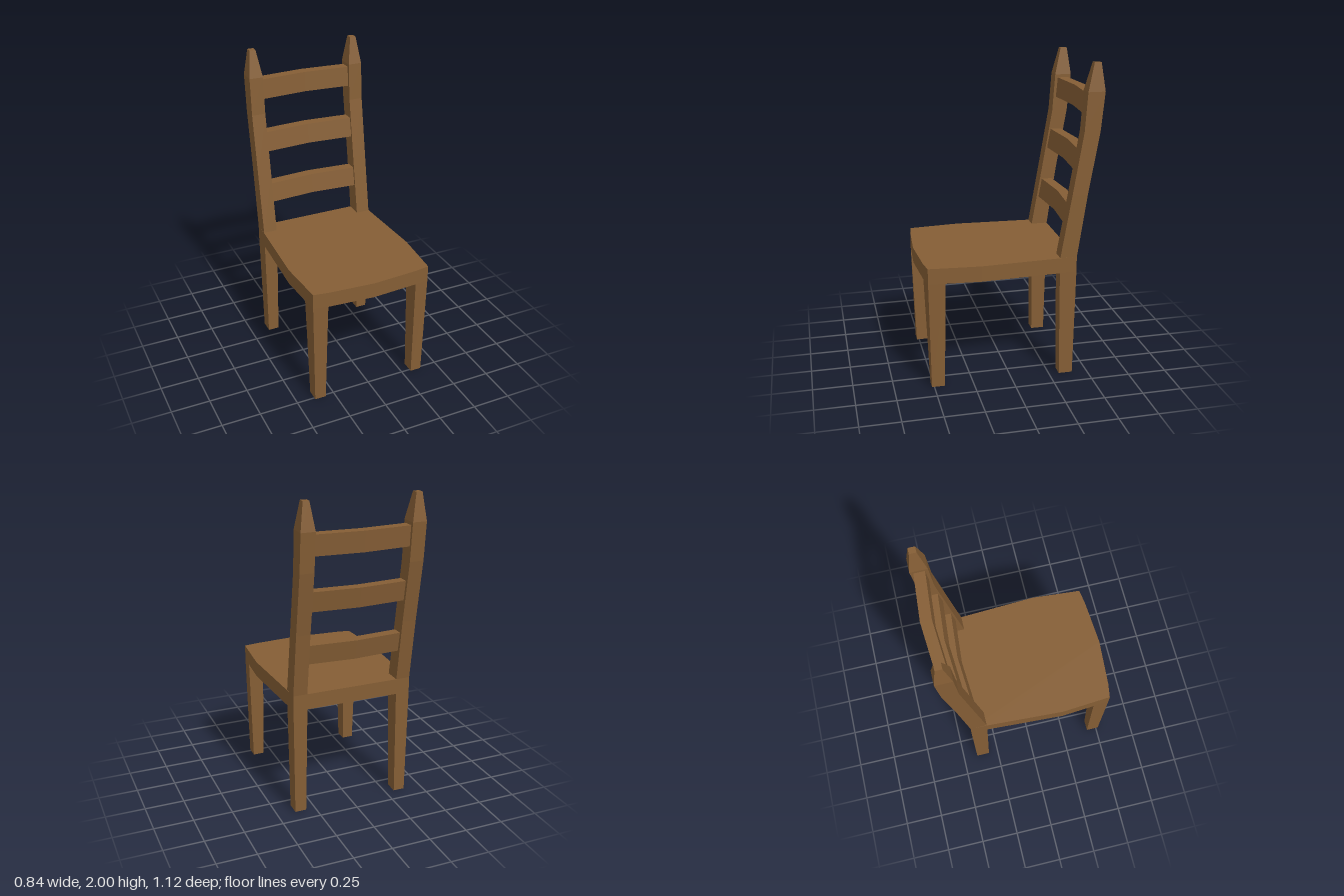
import * as THREE from 'three';

const wood = new THREE.MeshStandardMaterial({ color: 0x855e35 });
wood.name = 'brown wood';

// Flat-faced solid through matching rings of [x, y, z] corners, counterclockwise seen from the last ring
function loft(name, rings) {
  const pos = [];
  const n = rings[0].length;
  const tri = (a, b, c) => pos.push(...a, ...b, ...c);
  for (let i = 0; i < rings.length - 1; i++) {
    const a = rings[i], b = rings[i + 1];
    for (let j = 0; j < n; j++) {
      const k = (j + 1) % n;
      tri(a[j], a[k], b[k]);
      tri(a[j], b[k], b[j]);
    }
  }
  const first = rings[0], last = rings[rings.length - 1];
  for (let j = 1; j < n - 1; j++) {
    tri(first[0], first[j + 1], first[j]);
    tri(last[0], last[j], last[j + 1]);
  }
  const g = new THREE.BufferGeometry();
  g.setAttribute('position', new THREE.Float32BufferAttribute(pos, 3));
  g.computeVertexNormals();
  const mesh = new THREE.Mesh(g, wood);
  mesh.name = name;
  return mesh;
}

// Horizontal rectangle for legs and posts
const rect = (y, x0, x1, zBack, zFront) =>
  [[x1, y, zFront], [x1, y, zBack], [x0, y, zBack], [x0, y, zFront]];

const mirror = (rings) => rings.map((r) => r.map(([x, y, z]) => [-x, y, z]).reverse());

export function createModel() {
  const chair = new THREE.Group();
  chair.name = 'chair';

  // Seat with bowed front and sides
  const half = [[0.3, 0.54], [0.393, 0.525], [0.418, 0.2], [0.392, -0.305], [0.39, -0.413]];
  const outline = [[0, 0.561], ...half, ...half.map(([x, z]) => [-x, z]).reverse()];
  chair.add(loft('seat', [0.7, 0.8].map((y) => outline.map(([x, z]) => [x, y, z]))));

  // Tapered legs and leaning pointed posts, one set per side
  const frontLeg = [
    rect(0, 0.31, 0.383, 0.432, 0.515),
    [[0.393, 0.7, 0.525], [0.401, 0.7, 0.42], [0.3, 0.7, 0.42], [0.3, 0.7, 0.54]],
  ];
  const backLeg = [
    rect(0, 0.31, 0.383, -0.403, -0.315),
    rect(0.7, 0.3, 0.39, -0.413, -0.305),
  ];
  const post = [
    rect(0.8, 0.3, 0.39, -0.413, -0.306),
    rect(1.2, 0.3, 0.39, -0.472, -0.374),
    rect(1.59, 0.3, 0.39, -0.539, -0.439),
    rect(1.83, 0.3, 0.39, -0.562, -0.455),
    rect(2, 0.328, 0.367, -0.539, -0.496),
  ];
  for (const [name, rings] of [['FrontLeg', frontLeg], ['BackLeg', backLeg], ['BackPost', post]]) {
    chair.add(loft('left' + name, rings), loft('right' + name, mirror(rings)));
  }

  // Bent back slats: bottom y, top y, front z at bottom and at top
  const slats = [
    [0.995, 1.12, -0.352, -0.374],
    [1.338, 1.465, -0.408, -0.43],
    [1.682, 1.81, -0.462, -0.473],
  ];
  const depth = 0.068, bow = 0.022;
  slats.forEach(([y0, y1, z0, z1], i) => {
    const rings = [-0.3, 0, 0.3].map((x) => {
      const b = x === 0 ? bow : 0;
      return [[x, y0, z0 - b], [x, y0, z0 - b - depth], [x, y1, z1 - b - depth], [x, y1, z1 - b]];
    });
    chair.add(loft('backSlat' + (i + 1), rings));
  });

  return chair;
}
